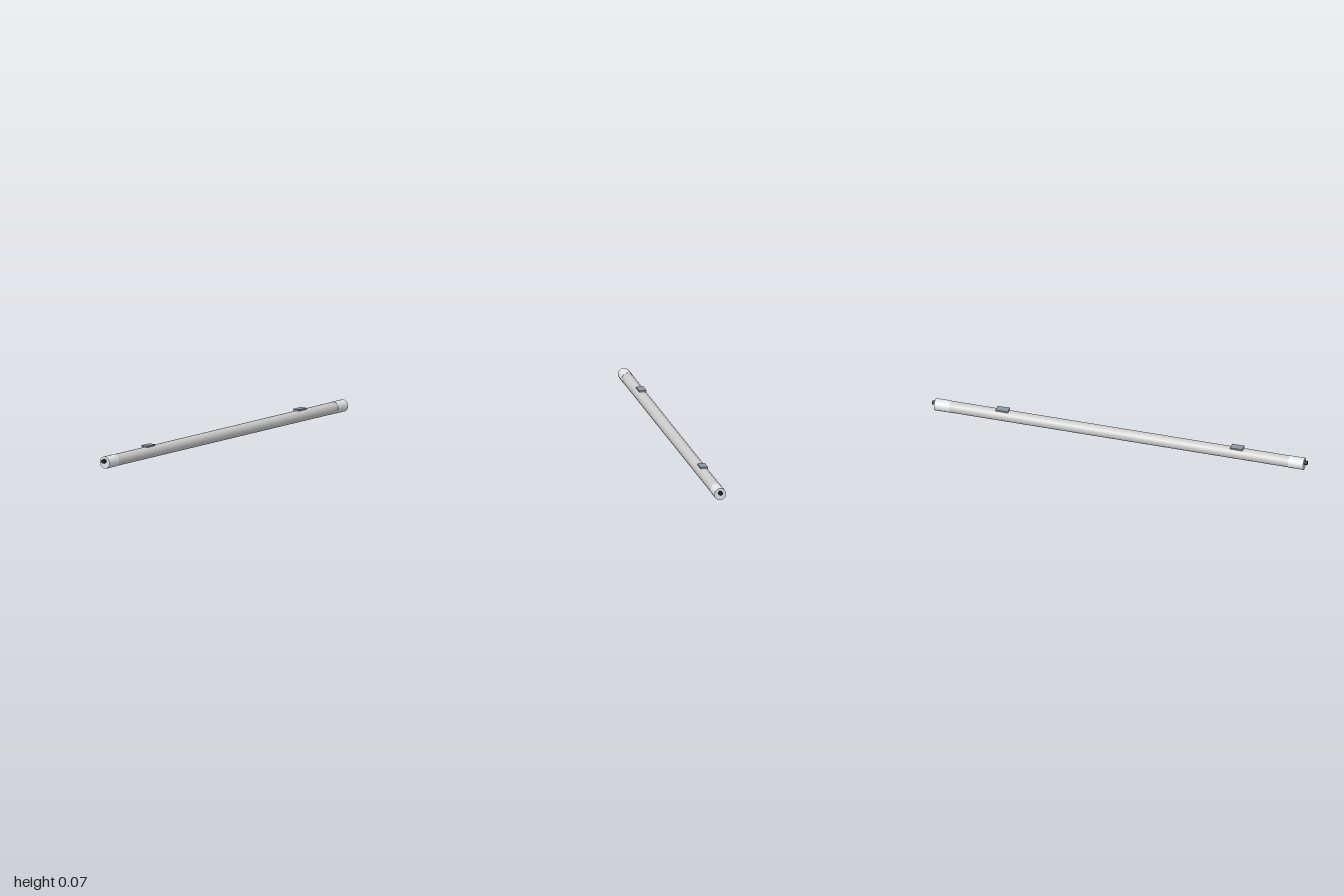
import * as THREE from 'three';

const AXIS_Y = 0.032;

export function createModel() {
  const group = new THREE.Group();
  const paint = (color) => new THREE.MeshStandardMaterial({ color });
  const tubeMat = paint(0xcccccc), capMat = paint(0xe0e5e7);
  const clipMat = paint(0x8c969f), pinMat = paint(0x20262b);

  const add = (name, geometry, material, x, y) => {
    const mesh = new THREE.Mesh(geometry, material);
    mesh.name = name;
    mesh.position.set(x, y, 0);
    group.add(mesh);
  };
  // cylinder lying along x, with a corner at the top
  const rod = (radius, length, sides) =>
    new THREE.CylinderGeometry(radius, radius, length, sides, 1, false, Math.PI / 2).rotateZ(Math.PI / 2);

  // long tube body
  add('tube', rod(0.031, 1.9, 14), tubeMat, 0, AXIS_Y);

  for (const [side, s] of [['left', 1], ['right', -1]]) {
    // end cap, cable stub and mounting clip at each end
    add(side + 'EndCap', rod(0.032, 0.08, 14), capMat, s * 0.944, AXIS_Y);
    add(side + 'CableStub', rod(0.011, 0.03, 12), pinMat, s * 0.985, 0.04);
    add(side + 'MountingClip', new THREE.BoxGeometry(0.066, 0.008, 0.038), clipMat, s * 0.625, 0.067);
  }
  return group;
}
